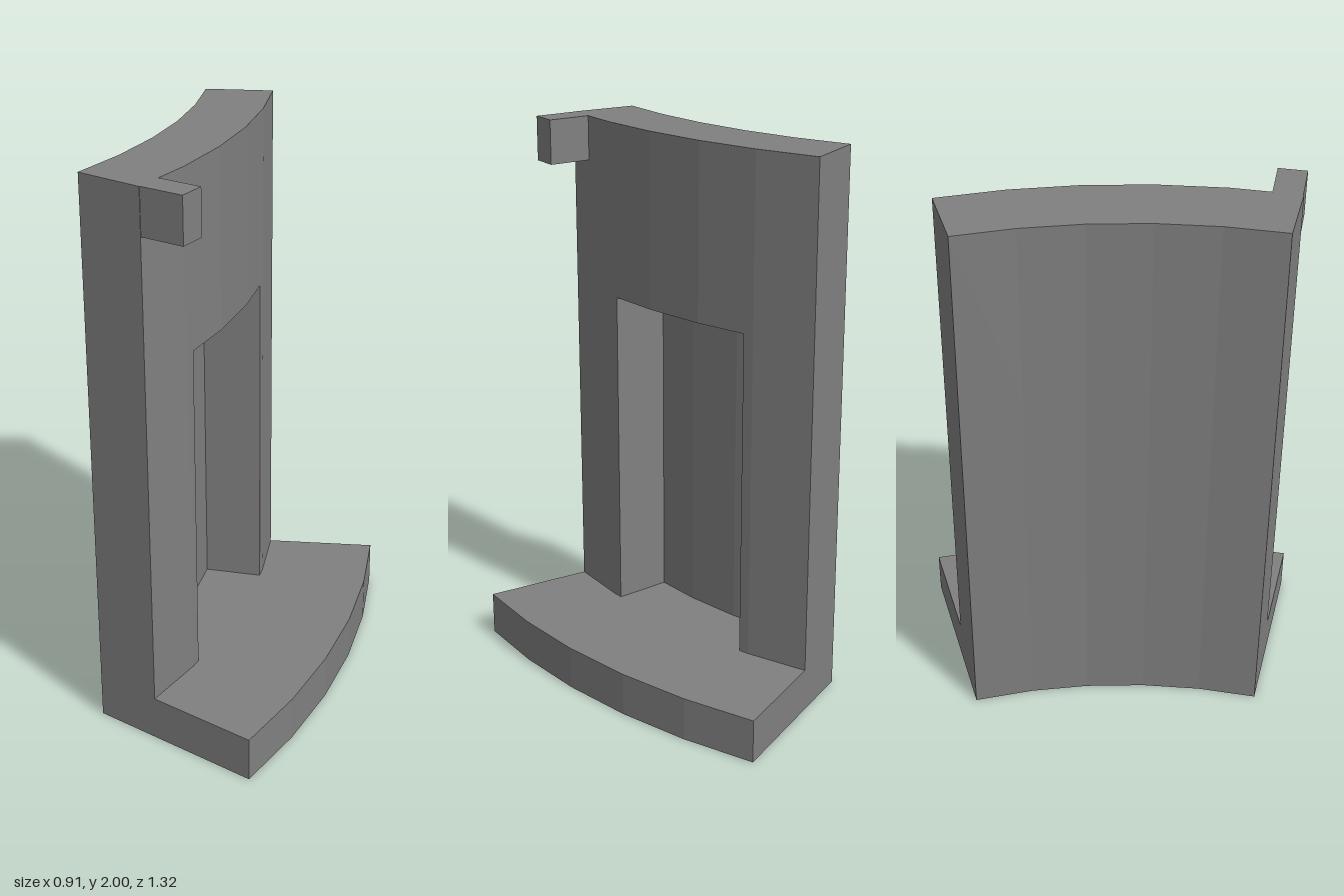
import * as THREE from 'three';

const CX = -2.186, CZ = 0.66;          // centre of the ring the piece is cut from
const INNER = 2.0, MID = 2.24, OUTER = 2.64, POCKET = 2.03;
const STEP = 6;                        // degrees per facet
const rad = THREE.MathUtils.degToRad;

// Point on a faceted arc (shape y is -z)
function arcPoint(r, deg) {
  const k = Math.min(4, Math.floor(deg / STEP));
  const rr = r * Math.cos(rad(STEP / 2)) / Math.cos(rad(deg - k * STEP - STEP / 2));
  return new THREE.Vector2(CX + rr * Math.cos(rad(deg)), -CZ + rr * Math.sin(rad(deg)));
}

// Points along a faceted arc, including the facet corners between its ends
function arc(r, from, to) {
  const lo = Math.min(from, to), hi = Math.max(from, to);
  const stops = [lo];
  for (let d = 0; d <= 30; d += STEP) if (d > lo && d < hi) stops.push(d);
  stops.push(hi);
  if (from > to) stops.reverse();
  return stops.map((d) => arcPoint(r, d));
}

// Plan outline raised from y0 to y1
function slab(points, y0, y1) {
  const g = new THREE.ExtrudeGeometry(new THREE.Shape(points), { depth: y1 - y0, bevelEnabled: false });
  g.rotateX(-Math.PI / 2);
  g.translate(0, y0, 0);
  return g;
}

export function createModel() {
  const group = new THREE.Group();
  const grey = new THREE.MeshStandardMaterial({ color: 0x808080 });
  grey.name = 'grey';
  const add = (name, geometry) => {
    const mesh = new THREE.Mesh(geometry, grey);
    mesh.name = name;
    group.add(mesh);
    return mesh;
  };

  const back = arc(INNER, 30, 0);

  // Foot: wall base and projecting ledge
  add('baseLedge', slab([...arc(OUTER, 0, 30), ...back], 0, 0.16));

  // Wall with a pocket in its outer face
  add('pocketWall', slab([
    ...arc(MID, 0, 7), ...arc(POCKET, 7, 23), ...arc(MID, 23, 30), ...back,
  ], 0.16, 1.365));

  // Solid wall above the pocket
  add('upperWall', slab([...arc(MID, 0, 30), ...back], 1.365, 2));

  // Small tab at the top front corner, square to the first facet
  const tabGeometry = new THREE.BoxGeometry(0.193, 0.16, 0.097);
  tabGeometry.translate(2.2965, 1.92, 0.0665);
  const tab = add('topTab', tabGeometry);
  tab.rotation.y = rad(3);
  tab.position.set(CX, 0, CZ);

  return group;
}
